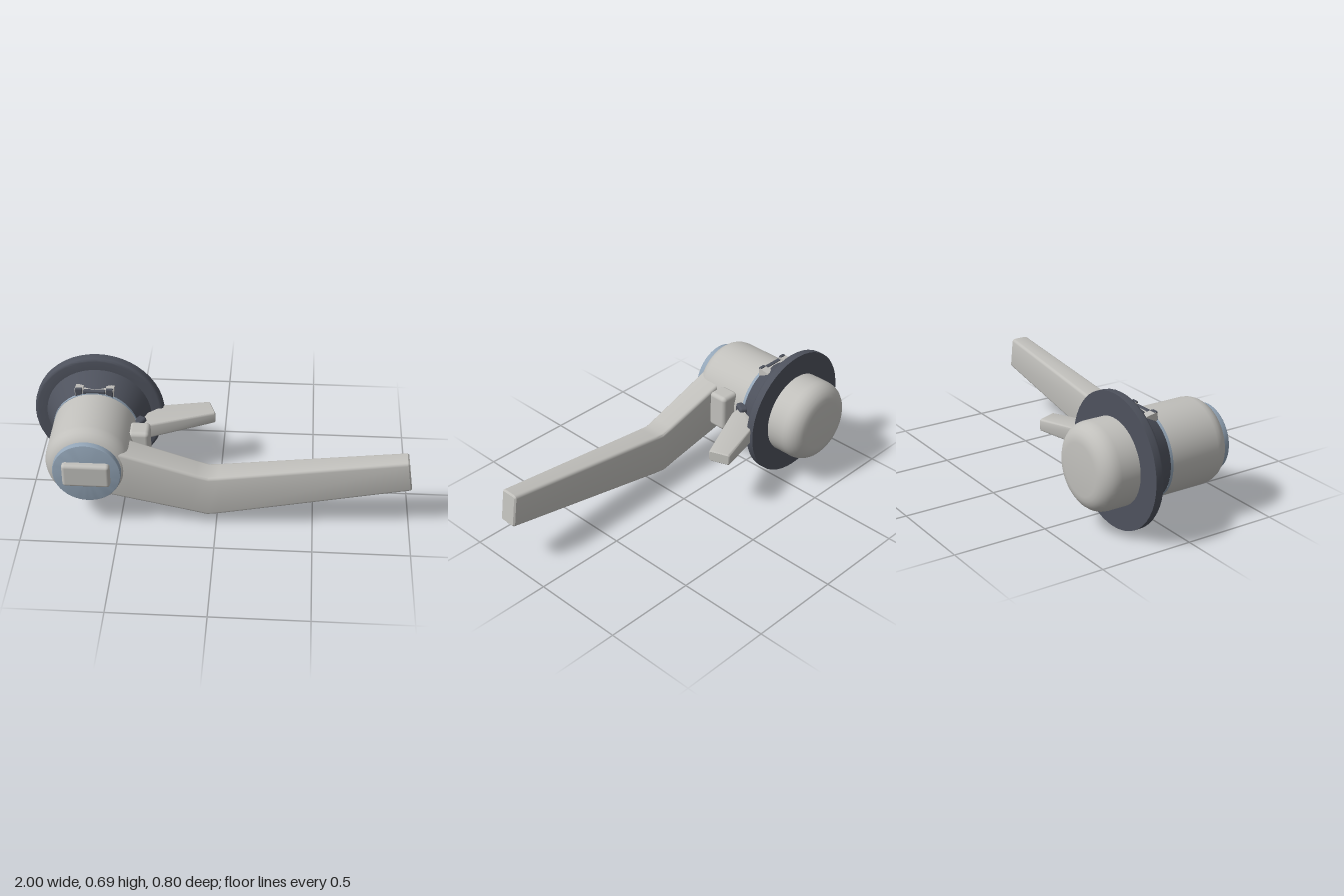
import * as THREE from 'three';
import { toCreasedNormals } from 'three/addons/utils/BufferGeometryUtils.js';
import { RoundedBoxGeometry } from 'three/addons/geometries/RoundedBoxGeometry.js';

const CX = -0.655, CY = 0.348; // axis of the cylinder, running along z

// Turned part along z from [radius, z] points
function turned(points) {
  const g = new THREE.LatheGeometry(points.map(p => new THREE.Vector2(p[0], p[1])), 48);
  g.rotateX(Math.PI / 2);
  g.translate(CX, CY, 0);
  return toCreasedNormals(g, 0.5);
}

// Points of a quarter round from angle a0 to a1
function arc(r, z, radius, a0, a1, n = 6) {
  return Array.from({ length: n + 1 }, (_, i) => {
    const a = a0 + (a1 - a0) * i / n;
    return [r + radius * Math.cos(a), z + radius * Math.sin(a)];
  });
}

// Bar lofted through rounded rectangles; section = [topX, topY, bottomX, bottomY, zMin, zMax]
function bar(sections, radius) {
  const last = sections[sections.length - 1];
  const prev = sections[sections.length - 2];
  // pull the final section back a little, then add a smaller end face
  const dir = new THREE.Vector2(last[0] + last[2] - prev[0] - prev[2], last[1] + last[3] - prev[1] - prev[3]).normalize();
  const inset = radius * 0.5;
  const list = sections.map(s => ({ s, cut: 0 }));
  const back = last.map((v, i) => i < 4 ? v - (i % 2 ? dir.y : dir.x) * inset : v);
  list[list.length - 1] = { s: back, cut: 0 };
  list.push({ s: last, cut: inset });
  const pos = [], idx = [], steps = 3, N = 4 * (steps + 1);
  for (const { s, cut } of list) {
    const d = new THREE.Vector2(s[0] - s[2], s[1] - s[3]);
    const h = d.length() / 2 - cut, w = (s[5] - s[4]) / 2 - cut;
    const r = radius - cut;
    d.normalize();
    for (let q = 0; q < 4; q++) {
      const su = q === 0 || q === 3 ? 1 : -1, sv = q < 2 ? 1 : -1;
      for (let k = 0; k <= steps; k++) {
        const a = (q + k / steps) * Math.PI / 2;
        const u = su * (h - r) + r * Math.cos(a), v = sv * (w - r) + r * Math.sin(a);
        pos.push((s[0] + s[2]) / 2 + d.x * u, (s[1] + s[3]) / 2 + d.y * u, (s[4] + s[5]) / 2 + v);
      }
    }
  }
  for (let i = 0; i < list.length - 1; i++) {
    for (let j = 0; j < N; j++) {
      const a = i * N + j, b = i * N + (j + 1) % N;
      idx.push(a, b, a + N, b, b + N, a + N);
    }
  }
  const e = (list.length - 1) * N;
  for (let j = 1; j < N - 1; j++) idx.push(e, e + j, e + j + 1, 0, j + 1, j);
  const g = new THREE.BufferGeometry();
  g.setAttribute('position', new THREE.Float32BufferAttribute(pos, 3));
  g.setIndex(idx);
  return g;
}

export function createModel() {
  const group = new THREE.Group();
  const material = (name, color) => new THREE.MeshStandardMaterial({ name, color });
  const metal = material('lightMetal', 0xc1c0bc);
  const dark = material('darkMetal', 0x4e525d);
  const blue = material('blueMetal', 0x93a5b7);

  const add = (name, geometry, mat, parent = group) => {
    const mesh = new THREE.Mesh(geometry, mat);
    mesh.name = name;
    parent.add(mesh);
    return mesh;
  };
  const box = (name, mat, x, y, z, w, h, d, r, parent) => {
    const m = add(name, new RoundedBoxGeometry(w, h, d, 3, r), mat, parent);
    m.position.set(x, y, z);
    return m;
  };

  // Cylinder with rounded ends
  const H = Math.PI / 2;
  add('body', turned([[0, -0.4], ...arc(0.133, -0.31, 0.09, -H, 0), ...arc(0.138, 0.26, 0.085, 0, H), [0, 0.345]]), metal);

  // Front cap and button
  add('frontCap', turned([[0, 0.33], [0.175, 0.33], ...arc(0.169, 0.361, 0.006, 0, H, 3), [0, 0.367]]), blue);
  box('button', metal, CX, CY + 0.002, 0.37, 0.244, 0.134, 0.06, 0.018);

  // Collar: flange plate, cone and thin ring
  add('flange', turned([[0.2, -0.205], [0.347, -0.205], ...arc(0.33, -0.172, 0.017, 0, H, 4), [0.28, -0.155], [0.2, -0.155]]), dark);
  add('collarCone', turned([[0.2, -0.16], [0.283, -0.16], [0.225, -0.03], [0.2, -0.03]]), dark);
  add('collarRing', turned([[0.2, -0.031], [0.2255, -0.031], [0.2255, -0.015], [0.2, -0.015]]), blue);

  // Clips above and below the collar
  for (const side of [1, -1]) {
    const clip = new THREE.Group();
    clip.name = side > 0 ? 'topClip' : 'bottomClip';
    clip.position.set(CX, CY, 0);
    if (side < 0) clip.rotation.z = Math.PI;
    const wedge = new THREE.Shape([[0.025, 0.2], [0.09, 0.225], [0.085, 0.235], [0.03, 0.245], [0.025, 0.24]]
      .map(p => new THREE.Vector2(p[0], p[1])));
    for (const x of [-0.08, 0.08]) {
      const g = new THREE.ExtrudeGeometry(wedge, { depth: 0.042, bevelEnabled: false });
      g.translate(0, 0, -0.021);
      g.rotateY(H);
      add('clipEar', g, metal, clip).position.x = x;
      box('clipPost', dark, x, 0.225, -0.029, 0.036, 0.048, 0.018, 0.004, clip);
    }
    box('clipBridge', metal, 0, 0.21, -0.048, 0.13, 0.045, 0.03, 0.004, clip);
    box('clipPlate', dark, 0, 0.222, -0.031, 0.115, 0.03, 0.022, 0.004, clip);
    group.add(clip);
  }

  // Long bent handle
  const handle = bar([
    [-0.6, 0.484, -0.6, 0.197, 0.176, 0.332],
    [-0.45, 0.436, -0.45, 0.162, 0.18, 0.33],
    [-0.1, 0.325, -0.13, 0.09, 0.189, 0.326],
    [-0.04, 0.309, -0.045, 0.069, 0.191, 0.324],
    [0.01, 0.314, 0.02, 0.078, 0.192, 0.323],
    [0.972, 0.437, 0.998, 0.26, 0.202, 0.302],
  ], 0.016);
  add('handle', toCreasedNormals(handle, 0.6), metal);

  // Stop block on the left side of the body
  box('sideBlock', metal, -0.41, 0.348, 0.098, 0.11, 0.206, 0.113, 0.022);

  // Saddle and short lever slanting backwards
  box('leverSaddle', dark, -0.425, 0.348, -0.025, 0.05, 0.135, 0.075, 0.014).rotation.y = -0.5;
  const lever = bar([
    [-0.385, 0.12, -0.43, 0.002, 0.303, 0.395],
    [-0.3, 0.197, -0.36, 0.01, 0.307, 0.393],
    [-0.07, 0.26, -0.03, 0.15, 0.315, 0.381],
  ], 0.012);
  lever.rotateX(-H);
  add('shortLever', toCreasedNormals(lever, 0.6), metal);

  return group;
}
